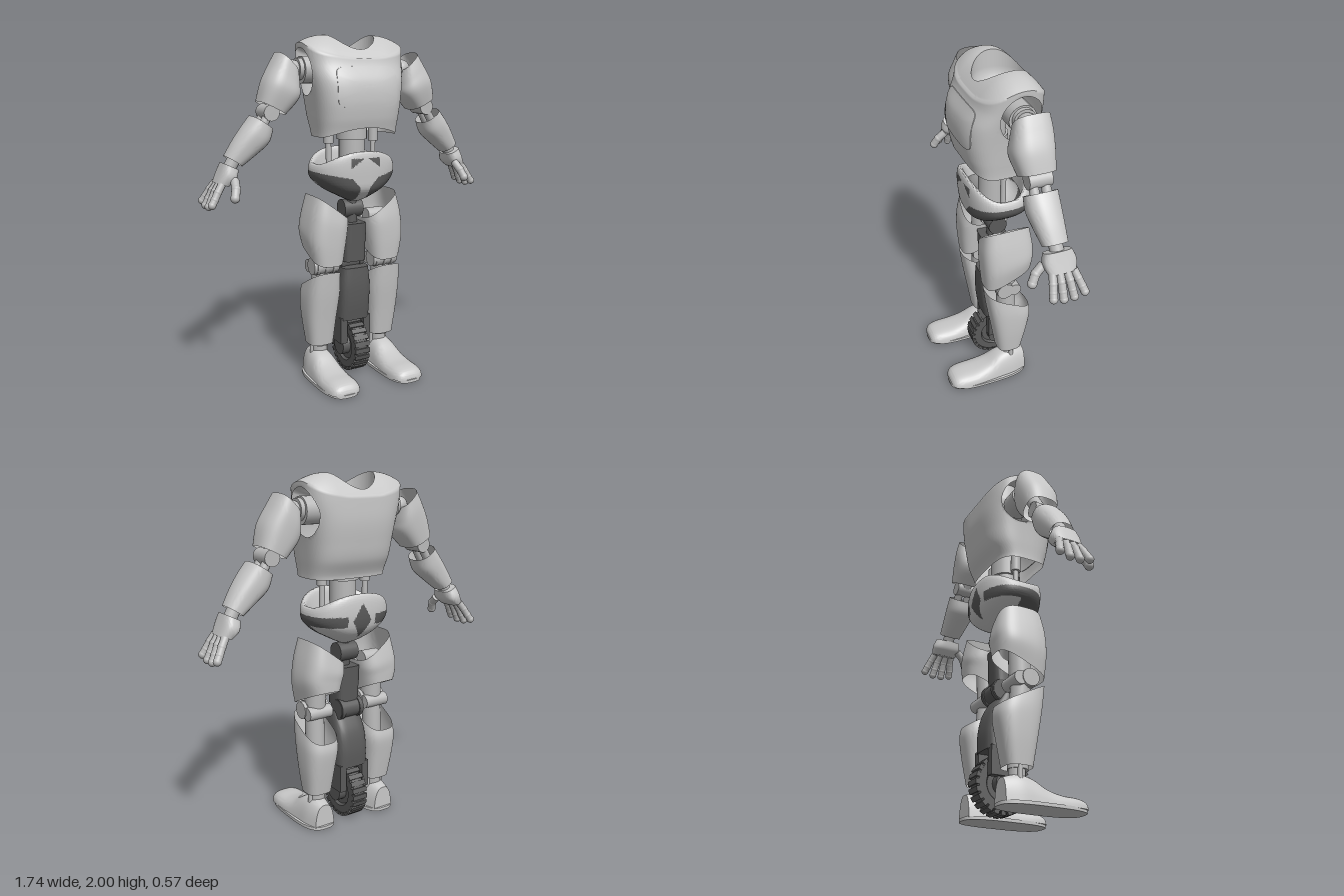
import * as THREE from 'three';
import { toCreasedNormals } from 'three/addons/utils/BufferGeometryUtils.js';

const material = (name, color) => new THREE.MeshStandardMaterial({ name, color, side: THREE.DoubleSide });
const V = (p) => new THREE.Vector3(...p);
const spow = (v, n) => Math.sign(v) * Math.pow(Math.abs(v), 2 / n);
const lerp = THREE.MathUtils.lerp;

// Catmull-Rom sample of a table of equal rows, f from 0 to rows - 1
function sample(table, f) {
  const last = table.length - 1;
  f = Math.min(Math.max(f, 0), last);
  const i = Math.min(Math.floor(f), last - 1), t = f - i;
  const row = (k) => table[Math.min(Math.max(k, 0), last)];
  const [a, b, c, d] = [row(i - 1), row(i), row(i + 1), row(i + 2)];
  return b.map((_, k) => {
    const m0 = (c[k] - a[k]) / 2, m1 = (d[k] - b[k]) / 2, t2 = t * t, t3 = t2 * t;
    return (2 * t3 - 3 * t2 + 1) * b[k] + (t3 - 2 * t2 + t) * m0 + (3 * t2 - 2 * t3) * c[k] + (t3 - t2) * m1;
  });
}

// Closed-around surface: fn(angle, row) gives a point; pick gives a material index, or -1 for a hole
function surface(fn, nu, nv, pick = () => 0, adjust = null) {
  const pts = [], lists = [[], []];
  for (let j = 0; j <= nv; j++)
    for (let i = 0; i < nu; i++) pts.push(V(fn((i / nu) * Math.PI * 2, j)));
  const tri = (a, b, c) => {
    const [p, q, r] = [pts[a], pts[b], pts[c]];
    if (q.clone().sub(p).cross(r.clone().sub(p)).length() < 1e-10) return;
    const m = pick(p, q, r);
    if (m >= 0) lists[m].push(a, b, c);
  };
  for (let j = 0; j < nv; j++)
    for (let i = 0; i < nu; i++) {
      const a = j * nu + i, b = j * nu + (i + 1) % nu;
      tri(a, b, a + nu);
      tri(b, b + nu, a + nu);
    }
  if (adjust) pts.forEach(adjust);
  const g = new THREE.BufferGeometry().setFromPoints(pts);
  g.setIndex([...lists[0], ...lists[1]]);
  if (lists[1].length) {
    g.addGroup(0, lists[0].length, 0);
    g.addGroup(lists[0].length, lists[1].length, 1);
  }
  return toCreasedNormals(g, 1.1);
}

// Loft of rings [outerX, outerY, innerX, innerY, zFront, zBack, tilt], listed from the top down
function loft(rings, { n = 2.4, steps = 6, cap = false } = {}) {
  const full = rings.map((r) => (r.length < 7 ? [...r, 0] : r));
  const rows = [];
  const count = (rings.length - 1) * steps;
  for (let k = 0; k <= count; k++) rows.push(sample(full, k / steps));
  const point = ([a, b, c, d, e, f]) => [(a + c) / 2, (b + d) / 2, (a + c) / 2, (b + d) / 2, (e + f) / 2, (e + f) / 2, 0];
  if (cap) { rows.unshift(point(rows[0])); rows.push(point(rows[rows.length - 1])); }
  return surface((u, j) => {
    const [ox, oy, ix, iy, zf, zb, tilt] = rows[j];
    const c = spow(Math.cos(u), n), s = spow(Math.sin(u), n);
    return [(ox + ix) / 2 + c * (ox - ix) / 2, (oy + iy) / 2 + c * (oy - iy) / 2 + s * tilt, (zf + zb) / 2 + s * (zf - zb) / 2];
  }, 48, rows.length - 1);
}

export function createModel() {
  const shell = material('shell grey', 0xc8c8c8);
  const joint = material('joint grey', 0xbababa);
  const dark = material('dark grey', 0x5a5a5a);
  const model = new THREE.Group();
  model.name = 'robot';

  const add = (parent, name, geometry, mat) => {
    const mesh = new THREE.Mesh(geometry, mat);
    mesh.name = name;
    parent.add(mesh);
    return mesh;
  };
  const rod = (parent, name, a, b, r, mat = joint) => {
    const p = V(a), q = V(b), d = q.clone().sub(p);
    const mesh = add(parent, name, new THREE.CylinderGeometry(r, r, d.length(), 24), mat);
    mesh.position.copy(p).add(q).multiplyScalar(0.5);
    mesh.quaternion.setFromUnitVectors(new THREE.Vector3(0, 1, 0), d.normalize());
  };
  const ball = (parent, name, p, r) => {
    add(parent, name, new THREE.SphereGeometry(r, 20, 14), joint).position.set(...p);
  };

  // Torso: open vest with neck hole and arm holes; rows are [zFront, zBack, halfWidth] every 0.1 from y 1.45
  const boxiness = 3.4;
  const torsoTable = [[0.105, -0.205, 0.237], [0.13, -0.25, 0.248], [0.142, -0.27, 0.26], [0.132, -0.282, 0.275], [0.088, -0.282, 0.293], [0.072, -0.278, 0.302]];
  const section = (y) => sample(torsoTable, (y - 1.45) / 0.1);
  const around = (y, u) => {
    const [zf, zb, w] = section(y);
    return [w * spow(Math.cos(u), boxiness), (zf + zb) / 2 + spow(Math.sin(u), boxiness) * (zf - zb) / 2];
  };
  const shoulderY = (x, z) => 2 - 0.14 * Math.pow(Math.abs(z + 0.12) / (z > -0.12 ? 0.2 : 0.17), 2.2)
    - 0.04 * Math.pow(Math.max(0, Math.abs(x) - 0.15) / 0.15, 2);
  const holeDist = (p) => (Math.abs(p.x) < 0.22 ? 9 : Math.hypot((p.y - 1.8) / 0.13, (p.z + 0.115) / 0.115));
  const torsoPoint = (u, j) => {
    if (j === 0) return [0.145 * Math.cos(u), 1.9, -0.11 + 0.145 * Math.sin(u)];
    const [ex, ez] = around(1.95, u);
    if (j < 13) {
      const s = (j - 1) / 12;
      const x = lerp(0.145 * Math.cos(u), ex, s), z = lerp(-0.11 + 0.145 * Math.sin(u), ez, s);
      return [x, shoulderY(x, z), z];
    }
    const bottom = 1.443 + (Math.sin(u) > 0 ? 0.052 * (1 - (ex / 0.302) ** 2) : 0);
    const y = lerp(shoulderY(ex, ez), bottom, (j - 13) / 36);
    const [x, z] = around(y, u);
    return [x, y, z];
  };
  add(model, 'torso', surface(torsoPoint, 144, 49,
    (...t) => (t.every((p) => holeDist(p) < 1) ? -1 : 0),
    (p) => {
      const e = holeDist(p);
      if (e < 1 && e > 0.01) { p.y = 1.8 + (p.y - 1.8) / e; p.z = -0.115 + (p.z + 0.115) / e; }
    }), shell);

  // Chest plate laid on the front of the torso
  add(model, 'chestPlate', surface((u, j) => {
    const k = j < 2 ? 1 : 1 - (j - 1) / 12;
    const x = 0.185 * k * spow(Math.cos(u), 7), y = 1.72 + 0.11 * k * spow(Math.sin(u), 7);
    const [zf, zb, w] = section(y);
    const z = (zf + zb) / 2 + (zf - zb) / 2 * Math.pow(1 - Math.pow(Math.abs(x) / w, boxiness), 1 / boxiness);
    return [x, y, z + (j === 0 ? -0.003 : 0.004)];
  }, 64, 13), shell);

  const bowl = add(model, 'neckBowl', new THREE.SphereGeometry(0.145, 32, 12, 0, Math.PI * 2, Math.PI / 2, Math.PI / 2), shell);
  bowl.position.set(0, 1.905, -0.11);

  // Waist column
  rod(model, 'waistColumn', [0, 1.15, -0.07], [0, 1.72, -0.07], 0.075);
  rod(model, 'waistCollar', [0, 1.42, -0.07], [0, 1.6, -0.07], 0.088);

  // Pelvis: bowl with rolled rim and dark patches; rows are [y, halfWidth, zFront, zBack]
  const pelvisTable = [[1.22, 0.2, 0.05, -0.21], [1.275, 0.215, 0.07, -0.225], [1.285, 0.235, 0.09, -0.245], [1.25, 0.25, 0.102, -0.262],
    [1.2, 0.241, 0.1, -0.262], [1.14, 0.175, 0.088, -0.235], [1.09, 0.085, 0.04, -0.175], [1.065, 0.035, -0.01, -0.12]];
  const pelvisPaint = (p, q, r) => {
    const x = Math.abs(p.x + q.x + r.x) / 3, y = (p.y + q.y + r.y) / 3, z = (p.z + q.z + r.z) / 3;
    if (Math.hypot(x / 0.225, (z + 0.08) / 0.155) < 1 && y > 1.22) return 0;
    if (z > -0.09) {
      const chevron = x < 0.09 && y < 1.325 && y > 1.27 + (0.09 - x) * 0.69;
      const flank = x > 0.03 && y < Math.min(1.212 + (x - 0.085) * 0.2, 1.165 + (x - 0.04) * 1.1);
      return chevron || flank ? 1 : 0;
    }
    const diamond = x < 0.06 * (1 - Math.abs(y - 1.215) / 0.1);
    const band = x > 0.09 && y > 1.185 && y < 1.245;
    return diamond || band ? 1 : 0;
  };
  add(model, 'pelvis', surface((u, j) => {
    const [y, w, zf, zb] = sample(pelvisTable, j / 12);
    const wave = 0.075 * Math.sin(u) ** 2 * THREE.MathUtils.smoothstep(y, 1.17, 1.28);
    return [w * spow(Math.cos(u), 2.5), y + wave, (zf + zb) / 2 + spow(Math.sin(u), 2.5) * (zf - zb) / 2];
  }, 240, 84, pelvisPaint), [shell, dark]);

  // Arm, leg and waist strut of one side
  const buildSide = (name, sign) => {
    const side = new THREE.Group();
    side.name = name;
    side.scale.x = sign;
    model.add(side);

    rod(side, 'waistStrut', [0.145, 1.22, -0.08], [0.145, 1.42, -0.08], 0.016);
    rod(side, 'waistStrutSleeve', [0.145, 1.4, -0.08], [0.145, 1.56, -0.08], 0.028);

    // Shoulder
    rod(side, 'shoulderAxle', [0.19, 1.81, -0.11], [0.3, 1.81, -0.11], 0.075);
    rod(side, 'shoulderRing', [0.29, 1.815, -0.11], [0.325, 1.815, -0.11], 0.06);
    ball(side, 'shoulderBall', [0.35, 1.81, -0.11], 0.055);
    rod(side, 'upperArmCore', [0.35, 1.81, -0.11], [0.49, 1.59, -0.11], 0.04);
    add(side, 'upperArm', loft([[0.435, 1.905, 0.33, 1.8, -0.02, -0.205], [0.475, 1.84, 0.325, 1.72, -0.003, -0.213],
      [0.525, 1.75, 0.335, 1.655, 0.01, -0.21], [0.555, 1.645, 0.41, 1.57, -0.015, -0.2]], { n: 2.8 }), shell);

    // Elbow and forearm
    rod(side, 'elbowBarrel', [0.5, 1.585, -0.045], [0.5, 1.585, -0.17], 0.045);
    for (const z of [-0.075, -0.14]) rod(side, 'elbowLink', [0.47, 1.64, z], [0.56, 1.49, z], 0.025);
    add(side, 'forearm', loft([[0.6, 1.57, 0.485, 1.49, -0.015, -0.19], [0.655, 1.505, 0.51, 1.42, -0.015, -0.19],
      [0.705, 1.435, 0.58, 1.36, -0.03, -0.185], [0.75, 1.36, 0.66, 1.3, -0.05, -0.18]]), shell);
    rod(side, 'wrist', [0.68, 1.37, -0.115], [0.75, 1.25, -0.12], 0.036);

    // Hand
    add(side, 'palm', loft([[0.765, 1.325, 0.685, 1.285, -0.045, -0.19], [0.785, 1.275, 0.7, 1.235, -0.035, -0.21],
      [0.808, 1.22, 0.74, 1.2, -0.05, -0.2]], { cap: true, n: 3 }), shell);
    const finger = (label, points, r) => {
      for (let i = 0; i < points.length - 1; i++) {
        rod(side, label, points[i], points[i + 1], r);
        ball(side, label + 'Knuckle', points[i + 1], r * 1.06);
      }
    };
    for (let i = 0; i < 4; i++) {
      const z0 = -0.07 - i * 0.038, z1 = -0.05 - i * 0.057, drop = i === 0 || i === 3 ? 0.015 : 0;
      finger('finger', [[0.785, 1.215, z0], [0.812, 1.175, lerp(z0, z1, 0.4)], [0.833, 1.13 + drop / 2, lerp(z0, z1, 0.75)], [0.85, 1.095 + drop, z1]], 0.021);
    }
    finger('thumb', [[0.72, 1.235, -0.05], [0.73, 1.195, -0.005], [0.745, 1.15, 0.018]], 0.024);

    // Hip and thigh
    rod(side, 'hipAxle', [0.11, 0.95, -0.1], [0.22, 0.95, -0.1], 0.045);
    rod(side, 'thighCore', [0.195, 0.95, -0.09], [0.195, 0.7, -0.08], 0.06);
    add(side, 'thigh', loft([[0.26, 1.11, 0.055, 0.955, 0.05, -0.22], [0.29, 0.985, 0.062, 0.91, 0.062, -0.235],
      [0.303, 0.875, 0.075, 0.84, 0.06, -0.232, -0.03], [0.285, 0.77, 0.09, 0.765, 0.05, -0.228, -0.062]], { n: 3.2 }), shell);

    // Knee and shin
    rod(side, 'kneeBarrel', [0.115, 0.695, -0.055], [0.275, 0.695, -0.055], 0.05);
    rod(side, 'kneeBackBarrel', [0.12, 0.685, -0.115], [0.27, 0.685, -0.115], 0.038);
    for (const x of [0.145, 0.195, 0.245]) rod(side, 'kneeBand', [x - 0.01, 0.695, -0.055], [x + 0.01, 0.695, -0.055], 0.054);
    rod(side, 'shinCore', [0.2, 0.7, -0.08], [0.205, 0.2, -0.1], 0.055);
    add(side, 'shin', loft([[0.295, 0.6, 0.105, 0.6, 0.045, -0.222, 0.07], [0.303, 0.5, 0.1, 0.5, 0.025, -0.228, 0.03],
      [0.297, 0.36, 0.115, 0.36, -0.005, -0.21], [0.28, 0.21, 0.13, 0.21, -0.03, -0.18]], { n: 3 }), shell);

    // Ankle and foot; rows are [z, height, halfWidth] from heel to toe
    rod(side, 'ankle', [0.205, 0.13, -0.105], [0.205, 0.26, -0.105], 0.045);
    for (const x of [0.16, 0.25]) rod(side, 'ankleRod', [x, 0.13, -0.11], [x, 0.25, -0.11], 0.014);
    const footTable = [[-0.2, 0.15, 0.065], [-0.12, 0.172, 0.086], [-0.04, 0.158, 0.092], [0.04, 0.112, 0.098], [0.12, 0.09, 0.103],
      [0.2, 0.086, 0.101], [0.25, 0.076, 0.09], [0.272, 0.058, 0.07], [0.281, 0.038, 0.045]];
    add(side, 'boot', surface((u, j) => {
      const [z, h, w] = sample(footTable, (j - 1) / 5);
      if (j === 0 || j === 42) return [0.21, j ? 0.03 : 0.08, z];
      const y = 0.022 + (h - 0.022) * Math.max(0, spow(Math.sin(u), 2.8));
      return [0.21 + w * spow(Math.cos(u), 2.8) * (1 - 1.1 * y), y, z];
    }, 48, 42), shell);
    add(side, 'sole', loft([[0.316, 0.026, 0.104, 0.026, 0.287, -0.215], [0.316, 0.008, 0.104, 0.008, 0.287, -0.215]],
      { n: 3, steps: 1, cap: true }), shell);
  };
  buildSide('leftSide', 1);
  buildSide('rightSide', -1);

  // Middle leg
  const bar = (y, w, zf, zb) => [w, y, -w, y, zf, zb];
  rod(model, 'middleHip', [-0.06, 1.01, -0.09], [0.06, 1.01, -0.09], 0.055, dark);
  rod(model, 'middleHipPost', [0, 1.08, -0.08], [0, 0.9, -0.08], 0.035, dark);
  add(model, 'middleThigh', loft([bar(0.93, 0.072, 0.0, -0.16), bar(0.7, 0.072, -0.01, -0.15)], { n: 4, cap: true, steps: 2 }), dark);
  rod(model, 'middleKnee', [-0.075, 0.68, -0.12], [0.075, 0.68, -0.12], 0.056, dark);
  for (const x of [-0.06, 0.06]) rod(model, 'middleKneeBand', [x - 0.012, 0.68, -0.12], [x + 0.012, 0.68, -0.12], 0.062, dark);
  add(model, 'middleShin', loft([bar(0.665, 0.083, 0.005, -0.12), bar(0.56, 0.098, 0.01, -0.18), bar(0.45, 0.1, 0.005, -0.205),
    bar(0.34, 0.1, -0.01, -0.205)], { n: 4, cap: true }), dark);
  for (const s of [-1, 1]) {
    const fork = add(model, 'wheelFork', new THREE.BoxGeometry(0.044, 0.16, 0.17), dark);
    fork.position.set(s * 0.077, 0.275, -0.11);
    rod(model, 'wheelHub', [s * 0.03, 0.165, -0.095], [s * 0.078, 0.165, -0.095], 0.06, dark);
  }

  // Wheel with tread blocks
  const wheel = new THREE.Group();
  wheel.name = 'wheel';
  wheel.position.set(0, 0.165, -0.095);
  model.add(wheel);
  const profile = [[0.001, -0.03], [0.09, -0.03], [0.1, -0.045], [0.142, -0.045], [0.153, -0.034], [0.155, 0],
    [0.153, 0.034], [0.142, 0.045], [0.1, 0.045], [0.09, 0.03], [0.001, 0.03]].map(([r, y]) => new THREE.Vector2(r, y));
  add(wheel, 'tire', toCreasedNormals(new THREE.LatheGeometry(profile, 48), 0.5), dark).rotation.z = Math.PI / 2;
  for (let i = 0; i < 24; i++) {
    const a = (i / 24) * Math.PI * 2;
    const tread = add(wheel, 'tread', new THREE.BoxGeometry(0.096, 0.018, 0.028), dark);
    tread.position.set(0, Math.cos(a) * 0.152, Math.sin(a) * 0.152);
    tread.rotation.x = a;
  }
  return model;
}
